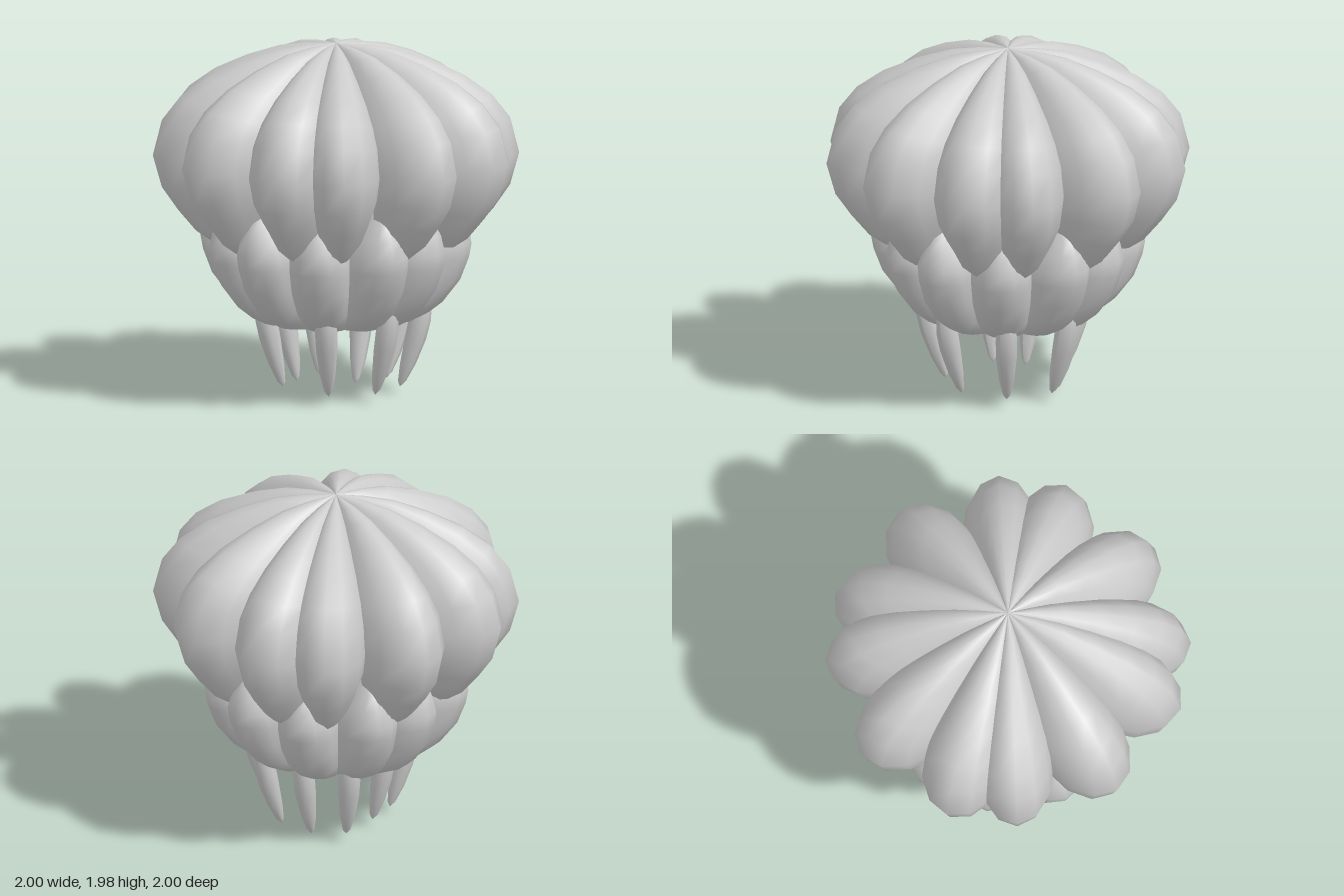
import * as THREE from 'three';

const material = new THREE.MeshStandardMaterial({ color: 0xcccccc, side: THREE.DoubleSide });
const rad = THREE.MathUtils.degToRad;

// A puffed rib facing +z: half-elliptical sections swept down a profile of
// [radius, height, relative width]; core, depth and width scale with the radius.
function lobeGeometry(profile, core, depth, width, lean) {
  const across = 6, positions = [], index = [];
  profile.forEach(([r, y, w], i) => {
    const narrow = w / (0.4 + 0.6 * w);
    const d = depth * narrow;
    const c = core + depth - d;
    for (let j = 0; j <= across; j++) {
      const v = (j / across - 0.5) * Math.PI;
      const drop = lean * r * (1.35 - y) * (1 - Math.cos(v));
      positions.push(width * w * r * Math.sin(v), y + drop, r * (c + d * Math.cos(v)));
      if (i < profile.length - 1 && j < across) {
        const a = i * (across + 1) + j, b = a + across + 1;
        index.push(a, b, a + 1, a + 1, b, b + 1);
      }
    }
  });
  const geometry = new THREE.BufferGeometry();
  geometry.setAttribute('position', new THREE.Float32BufferAttribute(positions, 3));
  geometry.setIndex(index);
  geometry.computeVertexNormals();
  return geometry;
}

// Repeats one lobe at the given [angle, breadth] (from +x towards +z) in each quarter turn
function ringOfLobes(name, geometry, places) {
  const ring = new THREE.Group();
  ring.name = name + 'Ring';
  for (let quarter = 0; quarter < 4; quarter++) {
    for (const [angle, breadth] of places) {
      const lobe = new THREE.Mesh(geometry, material);
      lobe.name = name;
      lobe.rotation.y = rad(90 - angle - quarter * 90);
      lobe.scale.x = breadth;
      ring.add(lobe);
    }
  }
  return ring;
}

// Hanging teardrop strand, leaning inwards towards its tip
function strand(tipX, tipY, tipZ) {
  const points = [[0, 0], [0.022, 0.03], [0.044, 0.13], [0.06, 0.27], [0.063, 0.38], [0.052, 0.48], [0.028, 0.56], [0, 0.6]]
    .map(([r, y]) => new THREE.Vector2(r, y));
  const geometry = new THREE.LatheGeometry(points, 10);
  const p = geometry.attributes.position;
  for (let i = 0; i < p.count; i++) {
    const spread = 1 + 0.37 * Math.sin((p.getY(i) / 0.6) * Math.PI / 2);
    p.setXYZ(i, p.getX(i) + tipX * spread, p.getY(i) + tipY, p.getZ(i) + tipZ * spread);
  }
  geometry.computeVertexNormals();
  const mesh = new THREE.Mesh(geometry, material);
  mesh.name = 'hangingStrand';
  return mesh;
}

export function createModel() {
  const model = new THREE.Group();
  model.name = 'lobedCanopy';

  // Large upper lobes meeting at the crown
  const upper = lobeGeometry([
    [0, 1.98, 1], [0.17, 1.97, 1], [0.33, 1.945, 1], [0.52, 1.88, 1], [0.71, 1.79, 1], [0.86, 1.68, 1],
    [0.96, 1.55, 1], [1.01, 1.35, 1], [0.96, 1.17, 0.98], [0.87, 1.04, 0.9],
    [0.77, 0.92, 0.76], [0.68, 0.86, 0.5], [0.58, 0.83, 0.1],
  ], 0.68, 0.33, 0.235, 0.28);
  model.add(ringOfLobes('upperLobe', upper, [[11.3, 1], [45, 0.92], [67.5, 1]]));

  // Smaller lower lobes emerging between the upper ones, open underneath
  const lower = lobeGeometry([
    [0.62, 1.13, 0.15], [0.7, 1.06, 0.5], [0.745, 0.97, 0.8], [0.765, 0.87, 0.98], [0.75, 0.79, 1.02],
    [0.7, 0.66, 1.06], [0.6, 0.53, 1.1], [0.51, 0.46, 1.12], [0.43, 0.42, 1.12],
  ], 0.7, 0.3, 0.232, 0);
  model.add(ringOfLobes('lowerLobe', lower, [[23, 1], [57, 1], [89, 1]]));

  // Strands below the opening
  const strands = new THREE.Group();
  strands.name = 'strands';
  const tips = [
    [-0.06, 0.04, 0.35], [0.21, 0.04, 0.29], [0.35, 0.04, 0.06], [0.26, 0, -0.09],
    [0.17, 0.04, -0.28], [-0.06, 0.04, -0.24], [-0.24, 0.04, -0.18], [-0.28, 0.04, 0.2],
  ];
  for (const tip of tips) strands.add(strand(...tip));
  model.add(strands);

  return model;
}
